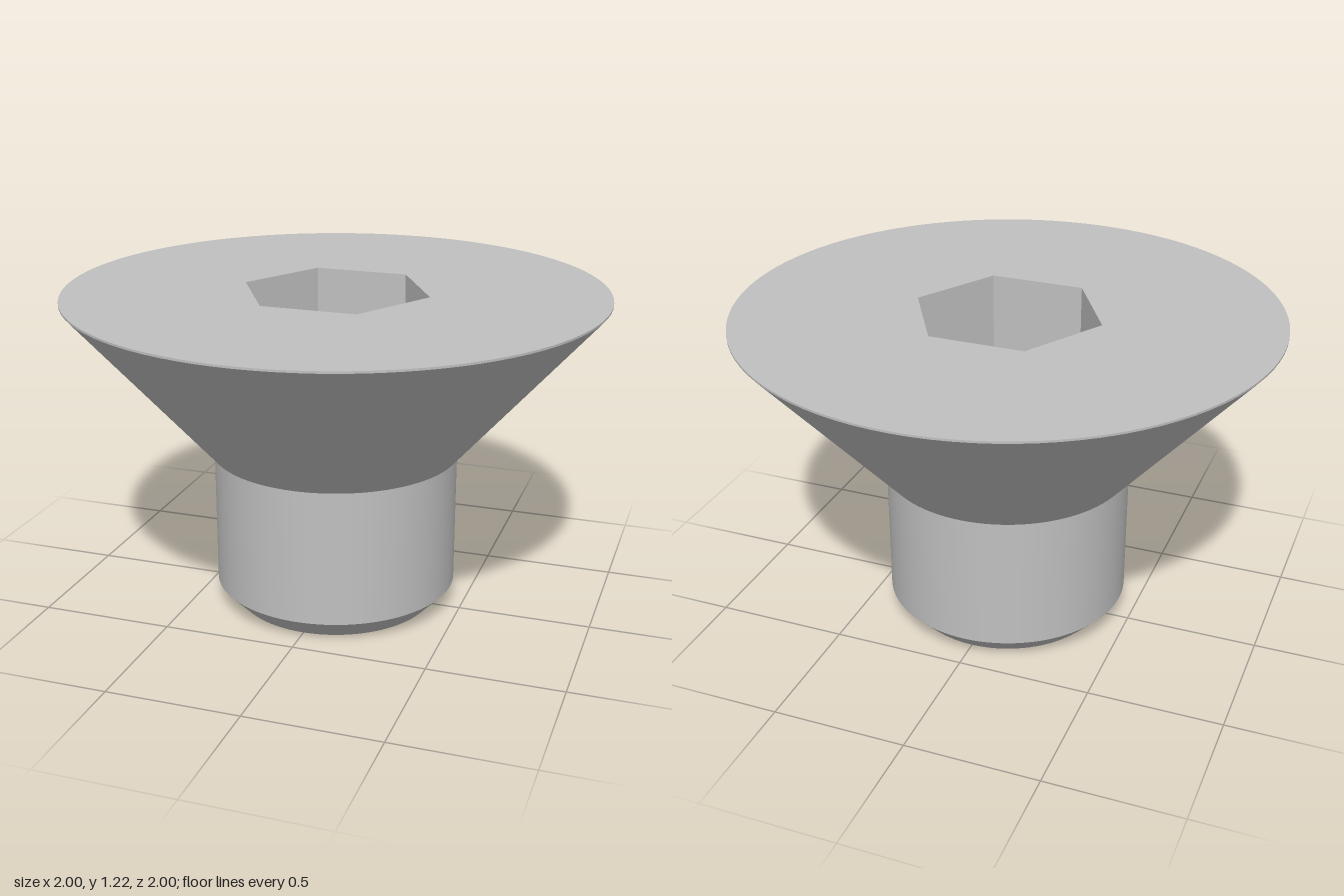
import * as THREE from 'three';

const SEGMENTS = 96;
const TOP = 1.215, SOCKET_RADIUS = 0.355, SOCKET_DEPTH = 0.35;

export function createModel() {
  const screw = new THREE.Group();
  screw.name = 'countersunkScrew';
  const steel = new THREE.MeshStandardMaterial({ color: 0xc0c0c0 });
  steel.name = 'steel grey';

  const add = (name, geometry, y = 0) => {
    const mesh = new THREE.Mesh(geometry, steel);
    mesh.name = name;
    mesh.position.y = y;
    screw.add(mesh);
  };
  // Open band between two heights, kept separate so its edges stay sharp
  const band = (name, r0, y0, r1, y1) =>
    add(name, new THREE.CylinderGeometry(r1, r0, y1 - y0, SEGMENTS, 1, true), (y0 + y1) / 2);

  // Shank with chamfered tip
  add('tipFace', new THREE.CircleGeometry(0.38, SEGMENTS).rotateX(Math.PI / 2));
  band('tipChamfer', 0.38, 0, 0.46, 0.083);
  band('shank', 0.46, 0.083, 0.46, 0.602);

  // Conical head with a small step below and a thin rim above
  add('headStep', new THREE.RingGeometry(0.46, 0.47, SEGMENTS).rotateX(Math.PI / 2), 0.602);
  band('headCone', 0.47, 0.602, 1, 1.207);
  band('headRim', 1, 1.207, 1, TOP);

  // Head face pierced by the hexagonal socket
  const hexagon = Array.from({ length: 6 }, (_, i) => new THREE.Vector2(
    SOCKET_RADIUS * Math.cos(i * Math.PI / 3), SOCKET_RADIUS * Math.sin(i * Math.PI / 3)));
  const face = new THREE.Shape().absarc(0, 0, 1, 0, Math.PI * 2);
  face.holes.push(new THREE.Path(hexagon));
  add('headFace', new THREE.ShapeGeometry(face, SEGMENTS).rotateX(-Math.PI / 2), TOP);

  // Socket walls, mirrored so they face inward, and floor
  const walls = new THREE.CylinderGeometry(
    SOCKET_RADIUS, SOCKET_RADIUS, SOCKET_DEPTH, 6, 1, true, Math.PI / 2)
    .scale(-1, 1, 1).toNonIndexed();
  walls.computeVertexNormals();
  add('socketWalls', walls, TOP - SOCKET_DEPTH / 2);
  add('socketFloor', new THREE.CircleGeometry(SOCKET_RADIUS, 6).rotateX(-Math.PI / 2), TOP - SOCKET_DEPTH);

  return screw;
}
